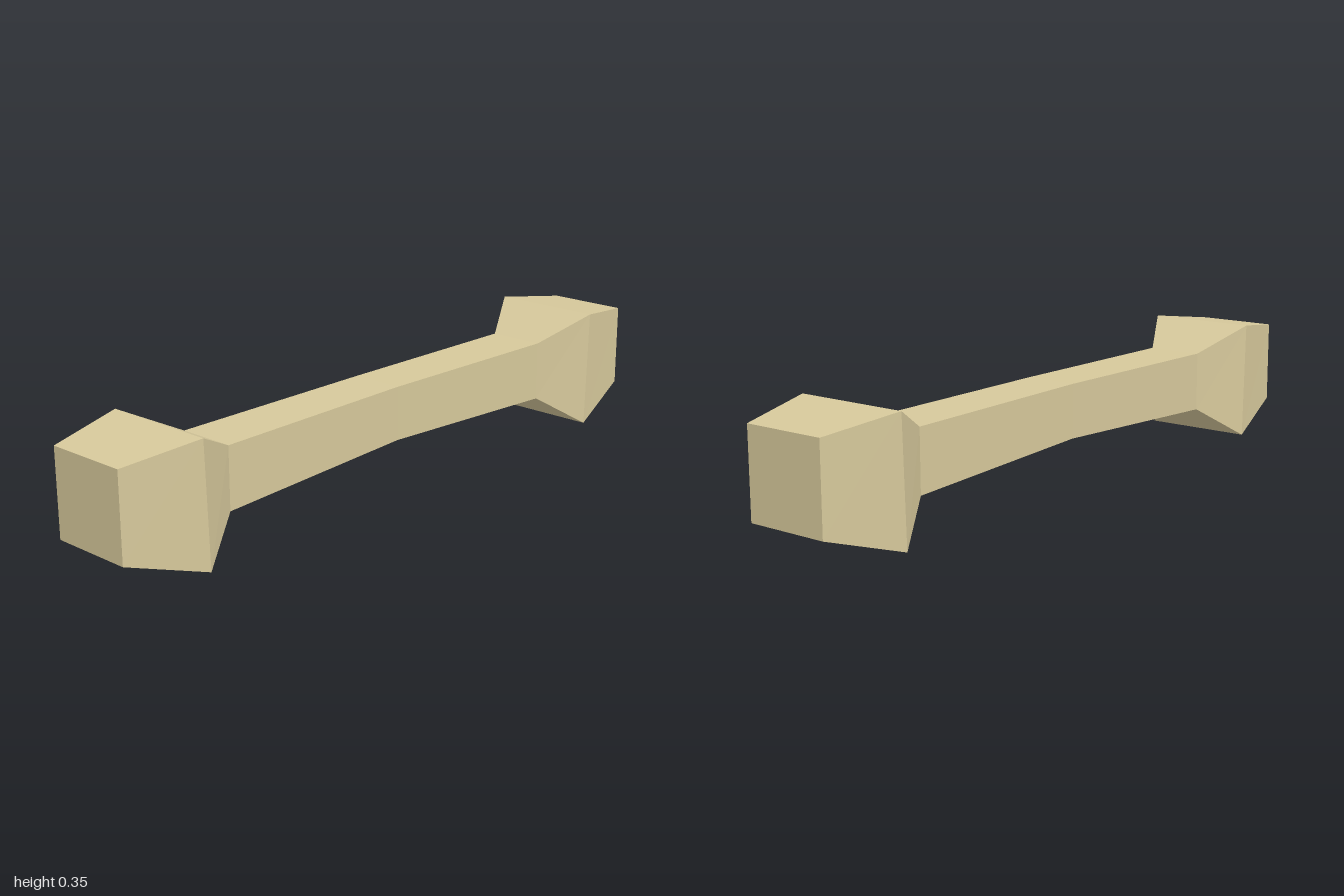
import * as THREE from 'three';

// Half of the bone's cross-sections, from the middle to the end:
// x at top, x at bottom, bottom y, top y, half depth
const SECTIONS = [
  [0, 0, 0.12, 0.275, 0.077],
  [0.63, 0.63, 0.095, 0.27, 0.083],
  [0.78, 0.77, 0, 0.346, 0.165],
  [1, 1, 0.075, 0.317, 0.12],
];

export function createModel() {
  const group = new THREE.Group();
  group.name = 'bone';
  const boneTan = new THREE.MeshStandardMaterial({ color: 0xd6c89b, flatShading: true });
  boneTan.name = 'bone tan';

  // Square bar with six spans, each ring of corners moved to its section
  const box = new THREE.BoxGeometry(2, 1, 1, 6, 1, 1);
  const p = box.attributes.position;
  for (let i = 0; i < p.count; i++) {
    const ring = Math.round(p.getX(i) * 3);
    const [xTop, xBottom, bottom, top, depth] = SECTIONS[Math.abs(ring)];
    const up = p.getY(i) > 0;
    p.setXYZ(i, Math.sign(ring) * (up ? xTop : xBottom), up ? top : bottom, Math.sign(p.getZ(i)) * depth);
  }
  const geometry = box.toNonIndexed();
  geometry.clearGroups();
  geometry.computeVertexNormals();

  const shaft = new THREE.Mesh(geometry, boneTan);
  shaft.name = 'shaftAndKnobs';
  group.add(shaft);
  return group;
}
